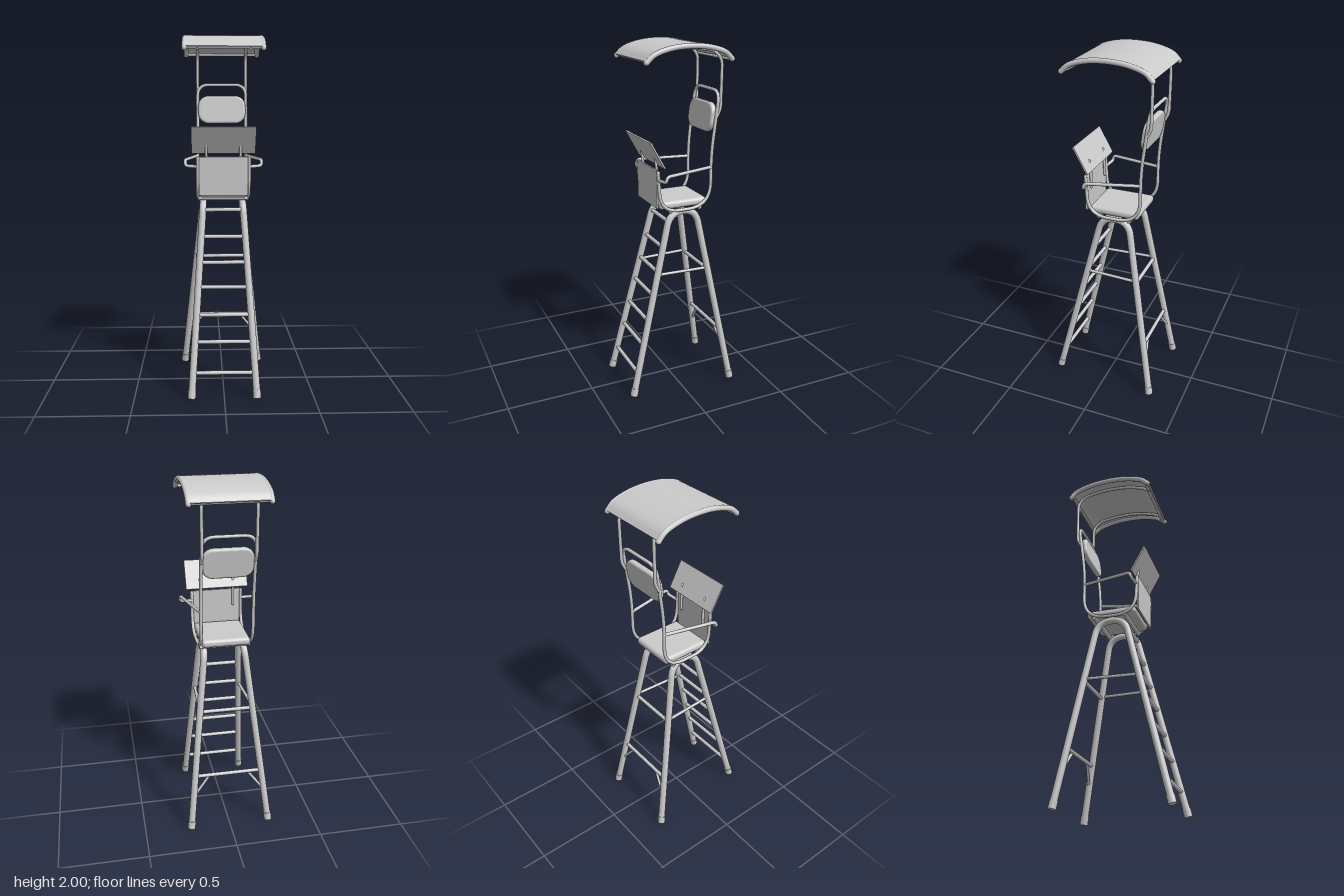
import * as THREE from 'three';
import { RoundedBoxGeometry } from 'three/addons/geometries/RoundedBoxGeometry.js';

const V = (x, y, z) => new THREE.Vector3(x, y, z);
const steel = new THREE.MeshStandardMaterial({ color: 0xcccccc });

export function createModel() {
  const model = new THREE.Group();

  function add(name, geometry, x = 0, y = 0, z = 0) {
    const mesh = new THREE.Mesh(geometry, steel);
    mesh.name = name;
    mesh.position.set(x, y, z);
    model.add(mesh);
    return mesh;
  }

  // Straight capped round bar from a to b
  function bar(name, a, b, r) {
    const d = b.clone().sub(a);
    const mesh = add(name, new THREE.CylinderGeometry(r, r, d.length(), 14));
    mesh.position.copy(a).addScaledVector(d, 0.5);
    mesh.quaternion.setFromUnitVectors(V(0, 1, 0), d.normalize());
    return mesh;
  }

  // Bent pipe: straight runs joined by rounded corners, with rounded ends
  function pipe(name, pts, r, bend, segments = 90) {
    const path = new THREE.CurvePath();
    let from = pts[0];
    for (let i = 1; i < pts.length - 1; i++) {
      const [p, q, n] = [pts[i - 1], pts[i], pts[i + 1]];
      const cut = Math.min(bend, q.distanceTo(p) * 0.499, q.distanceTo(n) * 0.499);
      const a = q.clone().add(p.clone().sub(q).setLength(cut));
      const b = q.clone().add(n.clone().sub(q).setLength(cut));
      path.add(new THREE.LineCurve3(from, a));
      path.add(new THREE.QuadraticBezierCurve3(a, q, b));
      from = b;
    }
    path.add(new THREE.LineCurve3(from, pts[pts.length - 1]));
    add(name, new THREE.TubeGeometry(path, segments, r, 12));
    for (const p of [pts[0], pts[pts.length - 1]])
      add(name + 'End', new THREE.SphereGeometry(r, 12, 8), p.x, p.y, p.z);
  }

  // Points on the legs at a given height
  const frontLeg = (s, y) => V(s * (0.182 - 0.065 * y), y, 0.305 - 0.245 * y);
  const rearLeg = (s, y) => V(s * (0.232 - 0.112 * y), y, -0.305 + 0.175 * y);

  // Leg hoops, feet and side braces
  for (const s of [-1, 1]) {
    pipe('legHoop', [frontLeg(s, 0.03), frontLeg(s, 1.075), rearLeg(s, 1.075), rearLeg(s, 0.03)], 0.02, 0.08, 140);
    bar('frontFoot', frontLeg(s, 0.005), frontLeg(s, 0.05), 0.0225);
    bar('rearFoot', rearLeg(s, 0.005), rearLeg(s, 0.05), 0.0225);
    bar('sideBrace', frontLeg(s, 0.72), rearLeg(s, 0.72), 0.009);
    // Small diagonal strut below the rear bar
    const bracket = rearLeg(s, 0.315);
    bracket.x = s * 0.12;
    bar('rearStrut', bracket, rearLeg(s, 0.2), 0.008);
  }

  // Ladder rungs and rear bars
  for (const y of [0.14, 0.305, 0.45, 0.6, 0.735, 0.877, 1.025])
    bar('rung', frontLeg(-1, y), frontLeg(1, y), 0.0115);
  bar('rearBar', rearLeg(-1, 0.325), rearLeg(1, 0.325), 0.011);
  bar('rearUpperBar', rearLeg(-1, 0.71), rearLeg(1, 0.71), 0.011);

  // Chair frame: one continuous pipe around both sides and over the backrest
  const side = [[1.32, 0.125], [1.092, 0.112], [1.092, -0.195], [1.4, -0.195], [1.6, -0.222], [1.735, -0.238]];
  const framePoints = [
    ...side.map(([y, z]) => V(0.143, y, z)),
    ...side.map(([y, z]) => V(-0.143, y, z)).reverse(),
  ];
  pipe('chairFrame', framePoints, 0.0095, 0.14, 260);
  for (const z of [0.05, -0.13])
    bar('seatSupport', V(-0.143, 1.092, z), V(0.143, 1.092, z), 0.012);

  // Cushions
  add('seat', new RoundedBoxGeometry(0.272, 0.045, 0.29, 5, 0.02), 0, 1.122, -0.035);
  const pad = new THREE.Shape();
  const [w, h, c] = [0.128, 0.07, 0.05];
  pad.moveTo(-w + c, -h);
  pad.absarc(w - c, -h + c, c, -Math.PI / 2, 0);
  pad.absarc(w - c, h - c, c, 0, Math.PI / 2);
  pad.absarc(-w + c, h - c, c, Math.PI / 2, Math.PI);
  pad.absarc(-w + c, -h + c, c, Math.PI, Math.PI * 1.5);
  const padGeometry = new THREE.ExtrudeGeometry(pad, {
    depth: 0.012, bevelThickness: 0.011, bevelSize: 0.012, bevelSegments: 4, curveSegments: 8,
  });
  add('backrest', padGeometry, 0, 1.587, -0.213).rotation.x = -0.14;

  // Front panel and tilted writing desk
  add('frontPanel', new THREE.BoxGeometry(0.272, 0.215, 0.01), 0, 1.223, 0.126);
  add('desk', new THREE.BoxGeometry(0.355, 0.168, 0.009), 0, 1.422, 0.14).rotation.x = 0.504;

  // Canopy profile as [z, y]
  const roof = new THREE.CatmullRomCurve3([
    V(0, 1.91, 0.216), V(0, 1.945, 0.175), V(0, 1.974, 0.085), V(0, 1.984, -0.03),
    V(0, 1.974, -0.145), V(0, 1.945, -0.235), V(0, 1.91, -0.272),
  ]);

  for (const s of [-1, 1]) {
    // Armrest flares outward, then returns to the front of the frame
    pipe('armrest', [V(s * 0.143, 1.318, -0.195), V(s * 0.212, 1.312, 0.1),
      V(s * 0.212, 1.28, 0.11), V(s * 0.143, 1.275, 0.12)], 0.0095, 0.03);
    pipe('deskBracket', [V(s * 0.095, 1.24, 0.112), V(s * 0.095, 1.34, 0.114), V(s * 0.095, 1.395, 0.122)], 0.008, 0.03, 30);

    // Post bends forward to become the rib beneath the canopy
    pipe('canopyPost', [V(s * 0.143, 1.6, -0.226), V(s * 0.143, 1.64, -0.247), V(s * 0.143, 1.9, -0.25),
      V(s * 0.143, 1.95, -0.205), V(s * 0.143, 1.966, -0.11), V(s * 0.143, 1.971, -0.03),
      V(s * 0.143, 1.963, 0.07), V(s * 0.143, 1.935, 0.165), V(s * 0.143, 1.91, 0.203)], 0.009, 0.06, 160);

    // Rolled canopy edge
    const rim = add('canopyEdge', new THREE.TubeGeometry(roof, 60, 0.0145, 12), s * 0.21);
    for (const t of [0, 1]) {
      const end = new THREE.Mesh(new THREE.SphereGeometry(0.0145, 12, 8), steel);
      end.name = 'canopyEdgeEnd';
      end.position.copy(roof.getPoint(t));
      rim.add(end);
    }
  }

  // Curved canopy sheet
  const outline = [];
  for (const offset of [0.0125, 0.002]) {
    const line = [];
    for (let i = 0; i <= 40; i++) {
      const p = roof.getPoint(i / 40), t = roof.getTangent(i / 40);
      line.push(new THREE.Vector2(-p.z - t.y * offset, p.y - t.z * offset));
    }
    outline.push(...(offset > 0.01 ? line : line.reverse()));
  }
  const sheet = new THREE.ExtrudeGeometry(new THREE.Shape(outline), { depth: 0.42, bevelEnabled: false });
  add('canopy', sheet, -0.21).rotation.y = Math.PI / 2;

  // Cross bars beneath the canopy
  bar('canopyCrossBar', V(-0.2, 1.91, -0.258), V(0.2, 1.91, -0.258), 0.008);
  bar('canopyCrossBar', V(-0.2, 1.912, 0.203), V(0.2, 1.912, 0.203), 0.008);

  return model;
}
